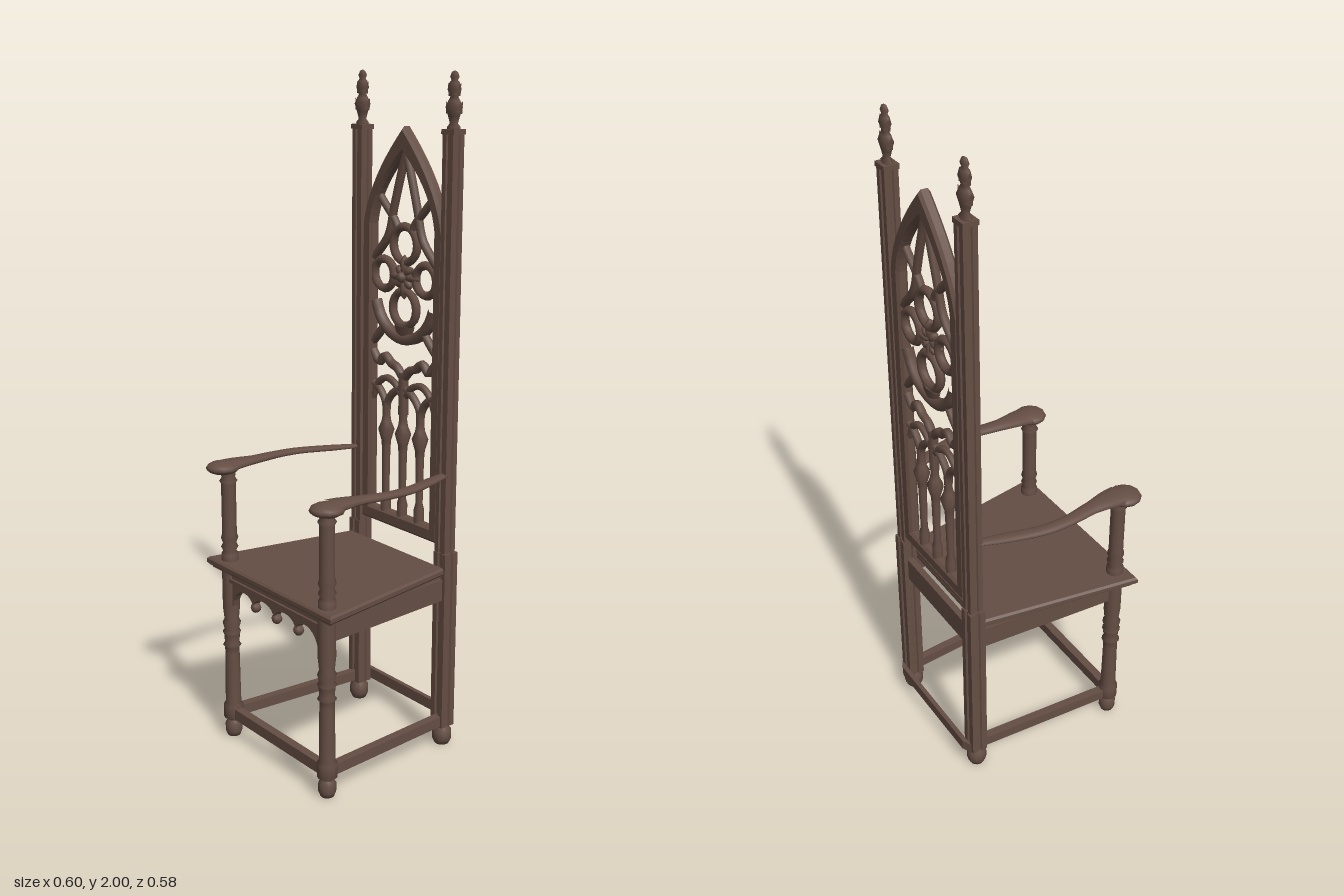
import * as THREE from 'three';

export function createModel() {
  const root = new THREE.Group();
  const wood = new THREE.MeshStandardMaterial({ color: 0x654e44 });
  wood.name = 'dark walnut';
  const V2 = (x, y) => new THREE.Vector2(x, y);

  const add = (name, geo, x = 0, y = 0, z = 0) => {
    const m = new THREE.Mesh(geo, wood);
    m.name = name;
    m.position.set(x, y, z);
    root.add(m);
    return m;
  };
  const box = (name, w, h, d, x, y, z) => add(name, new THREE.BoxGeometry(w, h, d), x, y, z);
  const lathe = (pts, seg = 12) => new THREE.LatheGeometry(pts.map(p => V2(p[0], p[1])), seg);
  // Straight square rail between two plan points
  const rail = (name, a, b, y, h, t) => {
    const dx = b[0] - a[0], dz = b[1] - a[1];
    const m = box(name, t, h, Math.hypot(dx, dz), (a[0] + b[0]) / 2, y, (a[1] + b[1]) / 2);
    m.rotation.y = Math.atan2(dx, dz);
    return m;
  };
  const extrude = (shape, depth, bevel = 0) => new THREE.ExtrudeGeometry(shape, {
    depth, bevelEnabled: bevel > 0, bevelSize: bevel, bevelThickness: bevel,
    bevelOffset: -bevel, bevelSegments: 1, curveSegments: 10,
  });

  // ---------- Seat: trapezoid board with a moulded edge ----------
  const plan = (f, b, zf, zb) => new THREE.Shape([V2(-f, -zf), V2(f, -zf), V2(b, -zb), V2(-b, -zb)]);
  add('seatBoard', extrude(plan(0.302, 0.218, 0.266, -0.228), 0.012, 0.006).rotateX(-Math.PI / 2), 0, 0.562, 0);
  add('seatUnderMoulding', extrude(plan(0.288, 0.208, 0.254, -0.228), 0.012).rotateX(-Math.PI / 2), 0, 0.548, 0);

  // ---------- Front apron with scalloped arches and pendants ----------
  const apron = new THREE.Shape();
  apron.moveTo(-0.235, 0.55);
  apron.lineTo(-0.235, 0.44);
  apron.lineTo(-0.21, 0.44);
  const step = 0.105;
  for (let i = 0; i < 4; i++) {
    const x0 = -0.21 + i * step;
    apron.bezierCurveTo(x0 + 0.01, 0.515, x0 + step - 0.01, 0.515, x0 + step, i < 3 ? 0.472 : 0.44);
  }
  apron.lineTo(0.235, 0.44);
  apron.lineTo(0.235, 0.55);
  add('frontApron', extrude(apron, 0.022), 0, 0, 0.215);
  box('frontApronBead', 0.44, 0.012, 0.008, 0, 0.522, 0.24);
  for (const x of [-step, 0, step]) add('apronPendant', new THREE.SphereGeometry(0.016, 8, 6), x, 0.468, 0.226);
  box('backApron', 0.36, 0.075, 0.02, 0, 0.513, -0.25);

  // ---------- Front leg and arm post profiles ----------
  const legProfile = [[0, 0.005], [0.02, 0.005], [0.026, 0.02], [0.026, 0.045], [0.018, 0.055], [0.018, 0.06],
    [0.03, 0.066], [0.03, 0.108], [0.024, 0.116], [0.022, 0.28], [0.022, 0.3], [0.028, 0.306], [0.022, 0.314],
    [0.024, 0.34], [0.028, 0.35], [0.022, 0.358], [0.028, 0.38], [0.022, 0.392], [0.026, 0.43], [0.026, 0.55]];
  const armPostProfile = [[0.026, 0.58], [0.026, 0.6], [0.02, 0.61], [0.026, 0.622], [0.02, 0.634], [0.026, 0.65],
    [0.022, 0.665], [0.022, 0.82], [0.027, 0.828], [0.02, 0.838], [0.024, 0.865]];

  // Back post cross-section: square with a groove on each face
  const postShape = (h) => {
    const g = h * 0.3, d = h * 0.78, pts = [];
    for (let k = 0; k < 4; k++) {
      const a = k * Math.PI / 2, c = Math.cos(a), s = Math.sin(a);
      for (const [x, y] of [[h, -h], [h, -g], [d, -g * 0.6], [d, g * 0.6], [h, g]])
        pts.push(V2(x * c - y * s, x * s + y * c));
    }
    return new THREE.Shape(pts);
  };
  const post = (h, len) => extrude(postShape(h), len).rotateX(-Math.PI / 2);
  const backFoot = [[0, 0.002], [0.022, 0.002], [0.03, 0.02], [0.03, 0.045], [0.02, 0.056], [0.02, 0.066]];
  const finial = [[0.02, 0], [0.024, 0.012], [0.014, 0.022], [0.02, 0.04], [0.03, 0.065], [0.021, 0.082],
    [0.014, 0.092], [0.024, 0.112], [0.018, 0.13], [0.011, 0.136], [0.016, 0.146], [0.01, 0.158], [0, 0.162]];

  // Arm sections: x, y, z, half width, half height
  const armKeys = [[0.2, 0.861, -0.235, 0.016, 0.006], [0.228, 0.863, -0.15, 0.022, 0.008],
    [0.257, 0.866, -0.05, 0.022, 0.009], [0.261, 0.868, 0.03, 0.022, 0.01], [0.25, 0.871, 0.12, 0.027, 0.011],
    [0.247, 0.873, 0.18, 0.04, 0.012], [0.246, 0.872, 0.22, 0.046, 0.014]];
  const armGeometry = (s) => {
    const R = 10, N = 24, pos = [], idx = [];
    const path = new THREE.CatmullRomCurve3(armKeys.map(k => new THREE.Vector3(k[0] * s, k[1], k[2])));
    for (let i = 0; i <= N; i++) {
      const t = i / N, f = t * (armKeys.length - 1), k = Math.min(Math.floor(f), armKeys.length - 2), u = f - k;
      const w = THREE.MathUtils.lerp(armKeys[k][3], armKeys[k + 1][3], u);
      const h = THREE.MathUtils.lerp(armKeys[k][4], armKeys[k + 1][4], u);
      const p = path.getPoint(t), d = path.getTangent(t).setY(0).normalize();
      for (let j = 0; j < R; j++) {
        const a = j / R * Math.PI * 2, c = Math.cos(a) * w;
        pos.push(p.x + d.z * c, p.y + Math.sin(a) * h, p.z - d.x * c);
        if (i < N) {
          const A = i * R + j, B = i * R + (j + 1) % R;
          idx.push(A, B, A + R, B, B + R, A + R);
        }
      }
    }
    const g = new THREE.BufferGeometry();
    g.setAttribute('position', new THREE.Float32BufferAttribute(pos, 3));
    g.setIndex(idx);
    g.computeVertexNormals();
    return g;
  };

  for (const s of [1, -1]) {
    const side = s > 0 ? 'left' : 'right';
    add(side + 'FrontLeg', lathe(legProfile), s * 0.235, 0, 0.226);
    add(side + 'ArmPost', lathe(armPostProfile), s * 0.237, 0, 0.226);
    add(side + 'Arm', armGeometry(s));
    // Rounded hand rest at the arm's end
    const knob = add(side + 'HandRest', new THREE.SphereGeometry(1, 12, 8), s * 0.25, 0.867, 0.236);
    knob.scale.set(0.05, 0.019, 0.05);
    // Back post, wider below the seat
    add(side + 'BackFoot', lathe(backFoot), s * 0.2, 0, -0.247);
    add(side + 'LowerBackPost', post(0.025, 0.56), s * 0.199, 0.062, -0.248);
    add(side + 'UpperBackPost', post(0.021, 1.222), s * 0.196, 0.615, -0.247);
    box(side + 'PostCap', 0.05, 0.014, 0.046, s * 0.196, 1.838, -0.247);
    // Leafy finial, flattened front to back
    add(side + 'Finial', lathe(finial, 8), s * 0.196, 1.838, -0.247).scale.set(1, 1, 0.6);
    for (const [y, r] of [[1.905, 0.026], [1.952, 0.018]]) for (const q of [1, -1]) {
      const leaf = add(side + 'FinialLeaf', new THREE.ConeGeometry(0.011, 0.034, 6), s * 0.196 + q * r, y, -0.247);
      leaf.rotation.z = -q * 0.5;
    }
    rail(side + 'Apron', [s * 0.236, 0.21], [s * 0.203, -0.24], 0.51, 0.066, 0.02);
    rail(side + 'Stretcher', [s * 0.236, 0.225], [s * 0.203, -0.25], 0.083, 0.032, 0.026);
  }
  box('frontStretcher', 0.46, 0.034, 0.026, 0, 0.083, 0.226);
  // Back stretcher with slanted ends, lying behind the posts
  add('backStretcher', extrude(new THREE.Shape([V2(-0.22, 0.277), V2(0.22, 0.277), V2(0.19, 0.291), V2(-0.19, 0.291)]),
    0.034).rotateX(-Math.PI / 2), 0, 0.066, 0);

  // ---------- Pointed back frame ----------
  const arch = (T, w, y0, y1, cx, cy, top) => {
    const p = new T();
    p.moveTo(-w, y0);
    p.lineTo(w, y0);
    p.lineTo(w, y1);
    p.quadraticCurveTo(cx, cy, 0, top);
    p.quadraticCurveTo(-cx, cy, -w, y1);
    p.lineTo(-w, y0);
    return p;
  };
  const frame = arch(THREE.Shape, 0.176, 0.64, 1.56, 0.155, 1.69, 1.846);
  frame.holes.push(arch(THREE.Path, 0.135, 0.685, 1.56, 0.12, 1.665, 1.772));
  add('backFrame', extrude(frame, 0.02, 0.008), 0, 0, -0.259);

  // ---------- Tracery ----------
  const Z = -0.249;
  const bar = (name, pts, r) => {
    const c = new THREE.CatmullRomCurve3(pts.map(p => new THREE.Vector3(p[0], p[1], 0)));
    add(name, new THREE.TubeGeometry(c, 16, r, 6, false), 0, 0, Z);
  };
  const pair = (name, pts, r) => [1, -1].forEach(s => bar(name, pts.map(p => [p[0] * s, p[1]]), r));

  // Mullions with a swelling capital
  const mullion = [[0.016, 0.67], [0.016, 0.72], [0.011, 0.74], [0.013, 0.88], [0.015, 0.905], [0.025, 0.94],
    [0.015, 0.965], [0.012, 0.985], [0.014, 1.03]];
  for (const x of [-0.077, 0, 0.077]) add('mullion', lathe(mullion, 8), x, 0, Z);
  bar('centreMullionTop', [[0, 1.0], [0, 1.13]], 0.016);
  pair('lightArchOuter', [[0.077, 1.0], [0.085, 1.03], [0.108, 1.06], [0.14, 1.075]], 0.012);
  pair('lightArchInner', [[0.077, 1.0], [0.07, 1.03], [0.045, 1.06], [0, 1.085]], 0.012);
  pair('lightHood', [[0.14, 1.03], [0.118, 1.075], [0.08, 1.1], [0.04, 1.09], [0, 1.05]], 0.011);
  pair('cuspedBand', [[0.14, 1.175], [0.11, 1.145], [0.085, 1.168], [0.055, 1.148], [0.03, 1.14], [0, 1.11]], 0.014);

  // Rose: big lower arc, rings and flower
  const lower = [];
  for (let i = 0; i <= 8; i++) {
    const a = Math.PI * (1.08 + 0.84 * i / 8);
    lower.push([0.132 * Math.cos(a), 1.365 + 0.135 * Math.sin(a)]);
  }
  bar('roseLowerArc', lower, 0.018);
  add('roseKeystone', new THREE.CylinderGeometry(0.045, 0.03, 0.04, 8), 0, 1.25, Z).scale.z = 0.35;
  pair('roseStay', [[0.085, 1.265], [0.11, 1.235], [0.14, 1.205]], 0.013);
  const ring = (x, y, r) => add('roseRing', new THREE.TorusGeometry(r, 0.013, 6, 20), x, y, Z);
  ring(0, 1.51, 0.052);
  ring(0, 1.322, 0.052);
  for (const s of [1, -1]) ring(s * 0.092, 1.415, 0.044);
  for (let k = 0; k < 8; k++) {
    const a = k * Math.PI / 4, r = k % 2 ? 0.026 : 0.034;
    const petal = add('rosePetal', new THREE.SphereGeometry(1, 8, 6), Math.cos(a) * r, 1.415 + Math.sin(a) * r, Z + 0.002);
    petal.scale.set(k % 2 ? 0.018 : 0.032, 0.012, 0.014);
    petal.rotation.z = a;
  }
  add('roseBoss', new THREE.SphereGeometry(0.016, 8, 6), 0, 1.415, -0.236);

  // Upper bars running into the point
  pair('spireBar', [[0, 1.775], [0.028, 1.69], [0.052, 1.61], [0.075, 1.53], [0.137, 1.46]], 0.013);
  pair('spireStay', [[0.115, 1.645], [0.085, 1.615], [0.045, 1.575], [0.03, 1.55]], 0.012);

  return root;
}
